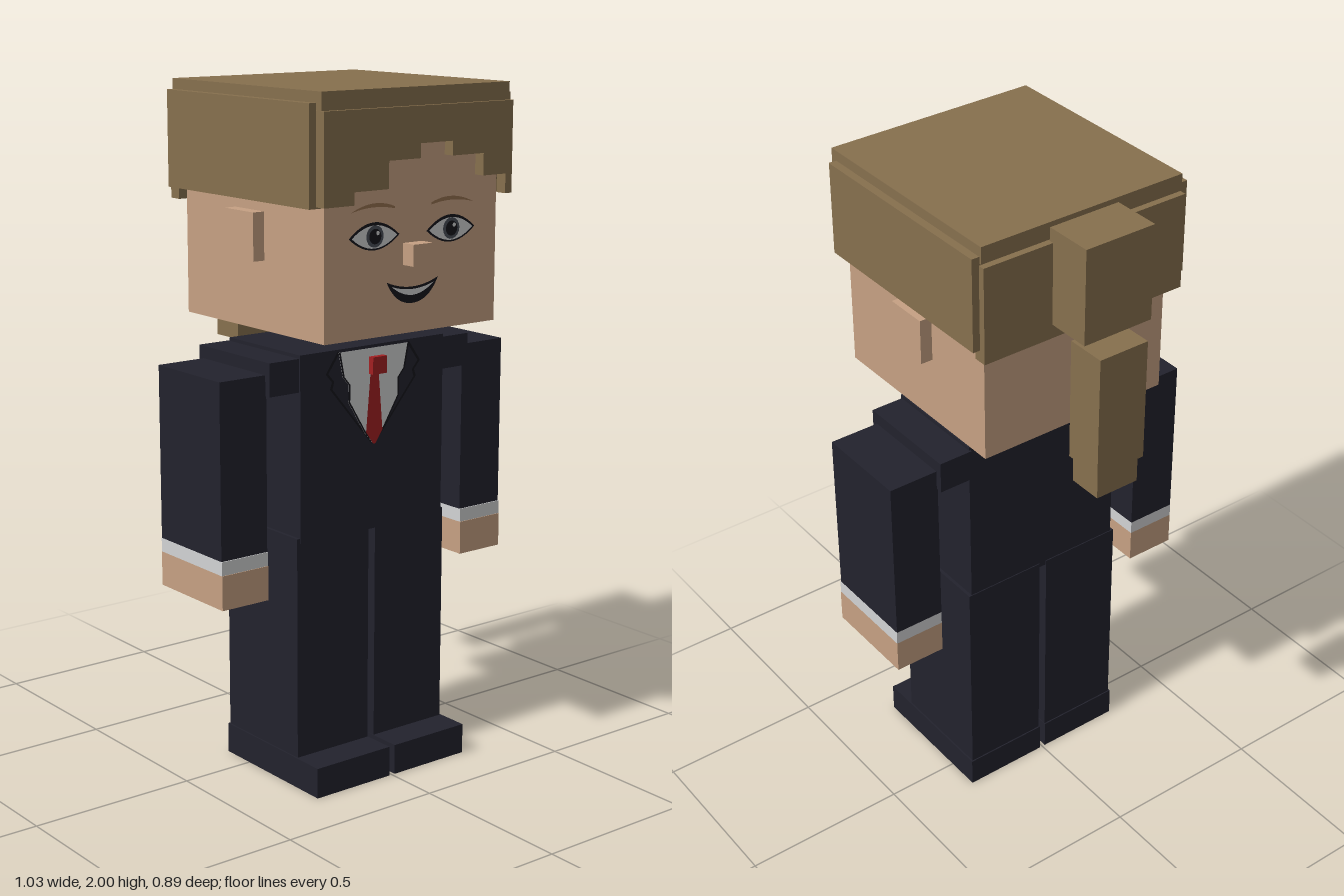
import * as THREE from 'three';

const mat = (name, color) => {
  const m = new THREE.MeshStandardMaterial({ color });
  m.name = name;
  return m;
};

export function createModel() {
  const skin = mat('skin', 0xc6a183), hair = mat('hair', 0x87704e), suit = mat('suit', 0x22222d);
  const white = mat('white', 0xd2d3d4), red = mat('tie red', 0xa32022), black = mat('ink', 0x15151b);
  const brow = mat('brow brown', 0x94714f), iris = mat('iris', 0x4a4e58);

  const model = new THREE.Group();
  model.name = 'blockFigure';
  const group = (name) => {
    const g = new THREE.Group();
    g.name = name;
    model.add(g);
    return g;
  };
  const add = (parent, name, geometry, material) => {
    const m = new THREE.Mesh(geometry, material);
    m.name = name;
    parent.add(m);
    return m;
  };
  // Box from its minimum and maximum on each axis
  const box = (parent, name, material, [x0, x1], [y0, y1], [z0, z1]) => {
    const m = add(parent, name, new THREE.BoxGeometry(x1 - x0, y1 - y0, z1 - z0), material);
    m.position.set((x0 + x1) / 2, (y0 + y1) / 2, (z0 + z1) / 2);
    return m;
  };
  // Flat painted patch facing the front
  const patch = (parent, name, material, points, z) => {
    const shape = new THREE.Shape(points.map(([x, y]) => new THREE.Vector2(x, y)));
    add(parent, name, new THREE.ShapeGeometry(shape), material).position.z = z;
  };
  // Points along a quadratic bow
  const bow = (a, c, b, n = 12) => new THREE.QuadraticBezierCurve(
    new THREE.Vector2(...a), new THREE.Vector2(...c), new THREE.Vector2(...b)
  ).getPoints(n).map((p) => [p.x, p.y]);
  const disc = (parent, name, material, x, y, r, z) => {
    add(parent, name, new THREE.CircleGeometry(r, 18), material).position.set(x, y, z);
  };

  // Torso, neck
  const torso = group('torso');
  box(torso, 'jacket', suit, [-0.26, 0.26], [0.73, 1.27], [-0.1, 0.235]);
  box(torso, 'neck', skin, [-0.083, 0.083], [1.27, 1.33], [-0.02, 0.155]);

  // Limbs
  for (const s of [1, -1]) {
    const side = s > 0 ? 'left' : 'right';
    const span = (a, b) => (s > 0 ? [a, b] : [-b, -a]);
    const arm = group(side + 'Arm');
    box(arm, 'shoulder', suit, span(0.255, 0.361), [1.165, 1.26], [-0.106, 0.23]);
    box(arm, 'sleeve', suit, span(0.358, 0.514), [0.72, 1.224], [-0.085, 0.21]);
    box(arm, 'cuff', white, span(0.358, 0.515), [0.68, 0.72], [-0.085, 0.213]);
    box(arm, 'hand', skin, span(0.358, 0.515), [0.58, 0.68], [-0.085, 0.215]);
    const leg = group(side + 'Leg');
    box(leg, 'trouser', suit, span(0.012, 0.27), [0.05, 0.745], [-0.103, 0.232]);
    box(leg, 'shoe', suit, span(0.01, 0.275), [0, 0.09], [-0.107, 0.332]);
  }

  // Shirt front, lapel lines and tie
  const mirror = (pts) => [...pts, ...pts.map(([x, y]) => [-x, y]).reverse()];
  const collar = [[0.128, 1.262], [0.113, 1.19], [0.092, 1.165], [0.093, 1.115], [0.035, 1.02], [0.004, 0.985]];
  patch(torso, 'shirt', white, mirror(collar), 0.238);
  for (const s of [1, -1]) {
    const flip = (pts) => pts.map(([x, y]) => [s * x, y]);
    patch(torso, 'lapelEdge', black, flip([
      [0.13, 1.265], [0.172, 1.205], [0.15, 1.18], [0.157, 1.16], [0.006, 0.982],
      [0.012, 0.997], [0.148, 1.159], [0.142, 1.181], [0.163, 1.205], [0.122, 1.262]]), 0.2365);
    patch(torso, 'shirtEdge', black, flip([
      ...collar, ...collar.map(([x, y]) => [x - 0.006, y]).reverse()]), 0.2395);
  }
  patch(torso, 'tie', red, mirror([[0.014, 1.2], [0.03, 1.02], [0.004, 0.983]]), 0.241);
  box(torso, 'tieKnot', red, [-0.025, 0.025], [1.19, 1.24], [0.247, 0.265]);

  // Head
  const head = group('head');
  box(head, 'skull', skin, [-0.305, 0.305], [1.33, 1.96], [-0.24, 0.4]);
  box(head, 'nose', skin, [-0.034, 0.034], [1.52, 1.58], [0.4, 0.445]);
  box(head, 'leftEar', skin, [0.305, 0.342], [1.525, 1.66], [0, 0.133]);
  box(head, 'rightEar', skin, [-0.342, -0.305], [1.525, 1.66], [0, 0.133]);

  // Eyes and brows
  const face = group('face');
  const almond = (x, w, up, down) => [
    ...bow([x - w, 1.606], [x, 1.606 + up], [x + w, 1.606]),
    ...bow([x + w, 1.606], [x, 1.606 - down], [x - w, 1.606]).slice(1, -1)];
  for (const s of [1, -1]) {
    const x = s * 0.136;
    patch(face, 'eyeOutline', black, almond(x, 0.088, 0.078, 0.074), 0.4015);
    patch(face, 'eyeWhite', white, almond(x, 0.079, 0.062, 0.064), 0.403);
    disc(face, 'iris', iris, x, 1.607, 0.03, 0.4045);
    disc(face, 'pupil', black, x, 1.607, 0.021, 0.406);
    disc(face, 'glint', white, x + 0.008, 1.616, 0.006, 0.4075);
    patch(face, 'eyebrow', brow, [
      ...bow([s * 0.065, 1.683], [s * 0.14, 1.712], [s * 0.217, 1.675]),
      ...bow([s * 0.217, 1.675], [s * 0.14, 1.694], [s * 0.065, 1.677])], 0.4015);
  }

  // Smile
  patch(face, 'mouth', black, [
    ...bow([-0.092, 1.477], [0, 1.438], [0.092, 1.477]),
    ...bow([0.092, 1.477], [0.06, 1.412], [0, 1.412]).slice(1),
    ...bow([0, 1.412], [-0.06, 1.412], [-0.092, 1.477]).slice(1, -1)], 0.4015);
  patch(face, 'teeth', white, [
    ...bow([-0.076, 1.464], [0, 1.438], [0.076, 1.464]),
    ...bow([0.076, 1.464], [0, 1.405], [-0.076, 1.464]).slice(1, -1)], 0.403);

  // Hair cap and panels
  const cap = group('hair');
  box(cap, 'crown', hair, [-0.33, 0.33], [1.95, 2], [-0.267, 0.42]);
  box(cap, 'leftPanel', hair, [0.305, 0.354], [1.695, 1.97], [-0.26, 0.398]);
  box(cap, 'rightPanel', hair, [-0.354, -0.305], [1.695, 1.97], [-0.26, 0.398]);
  box(cap, 'backPanel', hair, [-0.332, 0.332], [1.66, 1.945], [-0.28, -0.24]);

  // Stepped fringe
  const steps = [[-0.332, 1.7], [-0.23, 1.735], [-0.113, 1.81], [-0.003, 1.85],
    [0.112, 1.81], [0.225, 1.748], [0.308, 1.693], [0.332, 0]];
  const edge = [[-0.332, 1.95]];
  for (let i = 0; i < steps.length - 1; i++) {
    edge.push([steps[i][0], steps[i][1]], [steps[i + 1][0], steps[i][1]]);
  }
  edge.push([0.332, 1.95]);
  const fringe = new THREE.Shape(edge.map(([x, y]) => new THREE.Vector2(x, y)));
  add(cap, 'fringe', new THREE.ExtrudeGeometry(fringe, { depth: 0.035, bevelEnabled: false }), hair).position.z = 0.399;

  // Ponytail
  const tail = group('ponytail');
  box(tail, 'tailRoot', hair, [-0.112, 0.112], [1.702, 1.985], [-0.415, -0.265]);
  box(tail, 'tailLength', hair, [-0.08, 0.08], [1.29, 1.66], [-0.443, -0.32]);
  box(tail, 'tailTip', hair, [-0.07, 0.07], [1.207, 1.29], [-0.432, -0.325]);

  return model;
}
